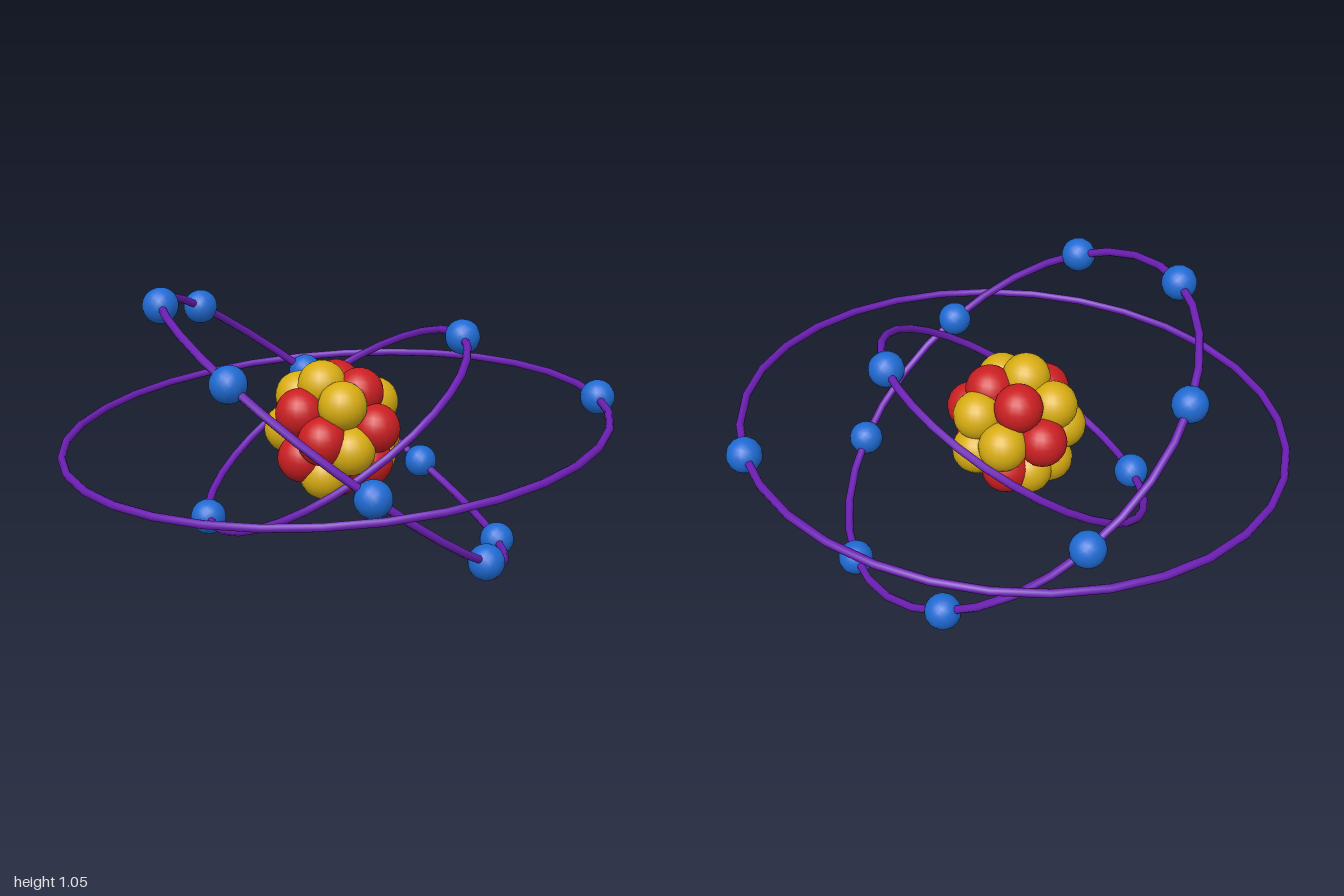
import * as THREE from 'three';

const mat = (name, color) => {
  const m = new THREE.MeshStandardMaterial({ color });
  m.name = name;
  return m;
};

export function createModel() {
  const purple = mat('orbitPurple', 0x6c1fb4);
  const blue = mat('electronBlue', 0x1f6ad2);
  const red = mat('protonRed', 0xcb1f22);
  const yellow = mat('neutronYellow', 0xd8ad12);

  const atom = new THREE.Group();
  atom.name = 'atom';
  atom.position.set(-0.025, 0.527, 0);

  const electronGeo = new THREE.SphereGeometry(0.0625, 16, 12);
  const nucleonGeo = new THREE.SphereGeometry(0.086, 20, 14);

  // Orbits: each ring lies flat, carries its electrons, then tilts about z
  const orbits = [
    { name: 'outerOrbit', radius: 0.96, tilt: 0.068, angles: [0] },
    { name: 'middleOrbit', radius: 0.757, tilt: -0.657, angles: [0, 1, 2, 3, 4, 5, 6, 7].map(i => i * Math.PI / 4) },
    { name: 'innerOrbit', radius: 0.55, tilt: 0.598, angles: [0, Math.PI] },
  ];
  for (const { name, radius, tilt, angles } of orbits) {
    const orbit = new THREE.Group();
    orbit.name = name;
    orbit.rotation.z = tilt;
    const ring = new THREE.Mesh(new THREE.TorusGeometry(radius, 0.0145, 8, 32).rotateX(Math.PI / 2), purple);
    ring.name = 'ring';
    orbit.add(ring);
    for (const a of angles) {
      const electron = new THREE.Mesh(electronGeo, blue);
      electron.name = 'electron';
      electron.position.set(radius * Math.cos(a), 0, radius * Math.sin(a));
      orbit.add(electron);
    }
    atom.add(orbit);
  }

  // Nucleus: cluster of overlapping balls around the centre
  const nucleus = new THREE.Group();
  nucleus.name = 'nucleus';
  const addBalls = (name, material, spots) => {
    for (const [x, y, z] of spots) {
      const ball = new THREE.Mesh(nucleonGeo, material);
      ball.name = name;
      ball.position.set(x, y, z);
      nucleus.add(ball);
    }
  };
  addBalls('proton', red, [
    [0.08, 0.135, 0.035], [0.02, 0.13, -0.105], [-0.135, 0.08, 0.07], [0.125, 0.025, 0.115],
    [-0.05, 0.01, -0.16], [-0.13, -0.08, 0.08], [0.07, -0.1, -0.12], [0.01, -0.168, 0],
    [0.105, -0.105, 0.085], [-0.07, 0, 0.155],
  ]);
  addBalls('neutron', yellow, [
    [-0.05, 0.165, 0.025], [0.005, 0.115, 0.13], [-0.115, 0.1, -0.08], [0.09, 0.01, -0.145],
    [0.145, 0.08, -0.03], [-0.16, -0.01, -0.045], [-0.1, -0.115, -0.08], [0.155, -0.05, -0.045],
    [0.13, -0.1, 0.015], [-0.055, -0.14, 0.1], [-0.01, -0.12, -0.12], [0.03, -0.04, 0.155],
  ]);
  atom.add(nucleus);

  const model = new THREE.Group();
  model.name = 'atomModel';
  model.add(atom);
  return model;
}
